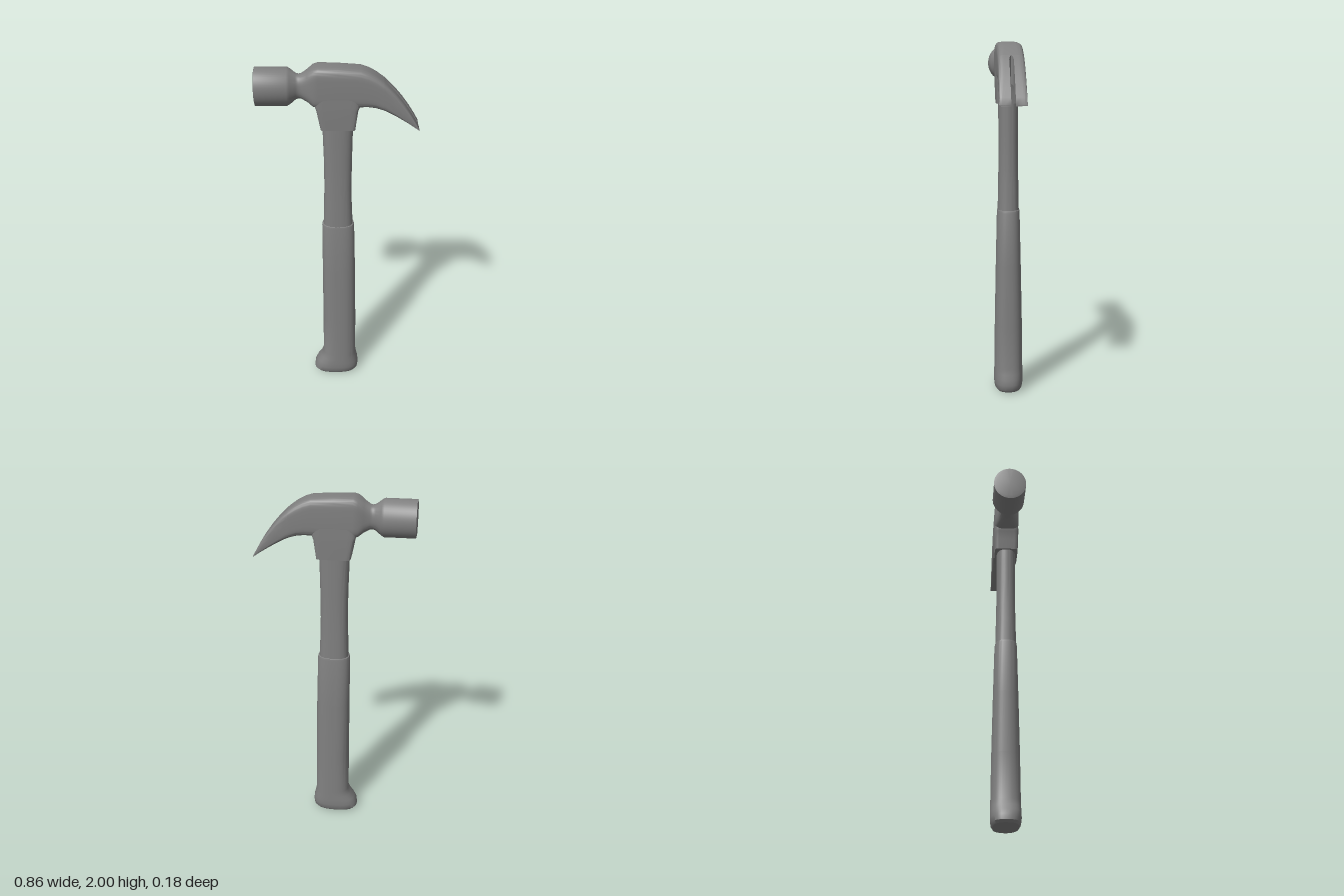
import * as THREE from 'three';
import { toCreasedNormals } from 'three/addons/utils/BufferGeometryUtils.js';

const SEG = 48;
const power = (v, n) => Math.sign(v) * Math.pow(Math.abs(v), 2 / n);

// Skins a list of closed rings (running along +x or +y) and caps both ends
function skin(rings, crease = 0.6) {
  const pos = [], index = [];
  rings.forEach(ring => ring.forEach(p => pos.push(...p)));
  for (let i = 0; i < rings.length - 1; i++) {
    for (let j = 0; j < SEG; j++) {
      const k = (j + 1) % SEG;
      const a = i * SEG + j, b = i * SEG + k, c = b + SEG, d = a + SEG;
      index.push(a, b, c, a, c, d);
    }
  }
  [0, rings.length - 1].forEach((r, end) => {
    const centre = pos.length / 3;
    for (let c = 0; c < 3; c++) pos.push(rings[r].reduce((s, p) => s + p[c], 0) / SEG);
    for (let j = 0; j < SEG; j++) {
      const a = r * SEG + j, b = r * SEG + (j + 1) % SEG;
      index.push(centre, end ? a : b, end ? b : a);
    }
  });
  const g = new THREE.BufferGeometry();
  g.setAttribute('position', new THREE.Float32BufferAttribute(pos, 3));
  g.setIndex(index);
  return toCreasedNormals(g, crease);
}

const angles = Array.from({ length: SEG }, (_, j) => (j / SEG) * Math.PI * 2);

// Ring across x: bottom, top, half depth, squareness
const ringX = ([x, bottom, top, rz, n]) => angles.map(t => [
  x, (top + bottom) / 2 + (top - bottom) / 2 * power(Math.cos(t), n), rz * power(Math.sin(t), n)]);

// Ring across y: left edge, right edge, half depth, squareness
const ringY = ([y, x0, x1, rz, n]) => angles.map(t => [
  (x0 + x1) / 2 + (x1 - x0) / 2 * power(Math.sin(t), n), y, rz * power(Math.cos(t), n)]);

export function createModel() {
  const group = new THREE.Group();
  const grey = new THREE.MeshStandardMaterial({ color: 0x808080 });
  grey.name = 'grey';
  const add = (name, geometry) => {
    const mesh = new THREE.Mesh(geometry, grey);
    mesh.name = name;
    group.add(mesh);
  };

  // Striking face, neck and cheek in one skin
  add('head', skin([
    [-0.43, 1.8, 1.97, 0.075, 2],
    [-0.426, 1.782, 1.986, 0.092, 2],
    [-0.26, 1.782, 1.986, 0.092, 2],
    [-0.245, 1.79, 1.978, 0.083, 2],
    [-0.215, 1.815, 1.955, 0.052, 2.1],
    [-0.2, 1.82, 1.95, 0.046, 2.3],
    [-0.185, 1.82, 1.952, 0.048, 2.6],
    [-0.155, 1.806, 1.97, 0.059, 3.2],
    [-0.125, 1.785, 1.992, 0.071, 4.5],
    [-0.1, 1.78, 1.999, 0.072, 5],
    [0, 1.78, 1.996, 0.072, 5],
    [0.12, 1.783, 1.987, 0.072, 5],
    [0.16, 1.784, 1.973, 0.072, 5],
    [0.2, 1.779, 1.951, 0.072, 5],
    [0.24, 1.768, 1.92, 0.072, 5.5],
  ].map(ringX)));

  // Two claw tines: the head's section cut back to leave the nail slot
  const claw = [
    [0.24, 1.768, 1.92, 0, 5.5],
    [0.25, 1.764, 1.911, 0.008, 5.6],
    [0.265, 1.757, 1.897, 0.012, 5.7],
    [0.3, 1.739, 1.86, 0.012, 6],
    [0.34, 1.716, 1.811, 0.012, 6.5],
    [0.38, 1.692, 1.754, 0.012, 7],
    [0.41, 1.673, 1.704, 0.012, 8],
    [0.43, 1.66, 1.667, 0.012, 8],
  ];
  for (const side of [1, -1]) {
    add(side > 0 ? 'frontTine' : 'backTine', skin(claw.map(([x, bottom, top, slot, n]) =>
      ringX([x, bottom, top, 0.072, n]).map(([px, py, pz]) =>
        [px, py, side * Math.max(side * pz, slot)]))));
  }

  // Squared, tapering socket under the head
  add('socket', skin([
    [1.66, -0.088, 0.095, 0.068, 10],
    [1.72, -0.1, 0.103, 0.07, 10],
    [1.77, -0.11, 0.11, 0.0715, 9],
    [1.79, -0.118, 0.12, 0.0715, 8],
    [1.84, -0.118, 0.12, 0.0715, 8],
  ].map(ringY)));

  // Slim upper handle
  add('shaft', skin([
    [1.04, -0.077, 0.088, 0.06, 2.6],
    [1.2, -0.073, 0.081, 0.057, 2.6],
    [1.3, -0.071, 0.079, 0.055, 2.6],
    [1.45, -0.072, 0.08, 0.054, 2.6],
    [1.6, -0.077, 0.083, 0.055, 2.6],
    [1.7, -0.08, 0.086, 0.055, 2.6],
  ].map(ringY)));

  // Sleeve grip with a flared butt
  add('grip', skin([
    [0, -0.1, 0.09, 0.055, 2.6],
    [0.006, -0.125, 0.112, 0.07, 2.6],
    [0.02, -0.137, 0.124, 0.079, 2.6],
    [0.05, -0.134, 0.128, 0.083, 2.6],
    [0.08, -0.12, 0.125, 0.083, 2.6],
    [0.11, -0.098, 0.118, 0.082, 2.6],
    [0.145, -0.083, 0.112, 0.081, 2.6],
    [0.4, -0.083, 0.11, 0.078, 2.6],
    [0.75, -0.084, 0.104, 0.071, 2.6],
    [1.05, -0.085, 0.096, 0.064, 2.6],
    [1.062, -0.082, 0.093, 0.062, 2.6],
    [1.066, -0.074, 0.084, 0.056, 2.6],
  ].map(ringY)));

  return group;
}
